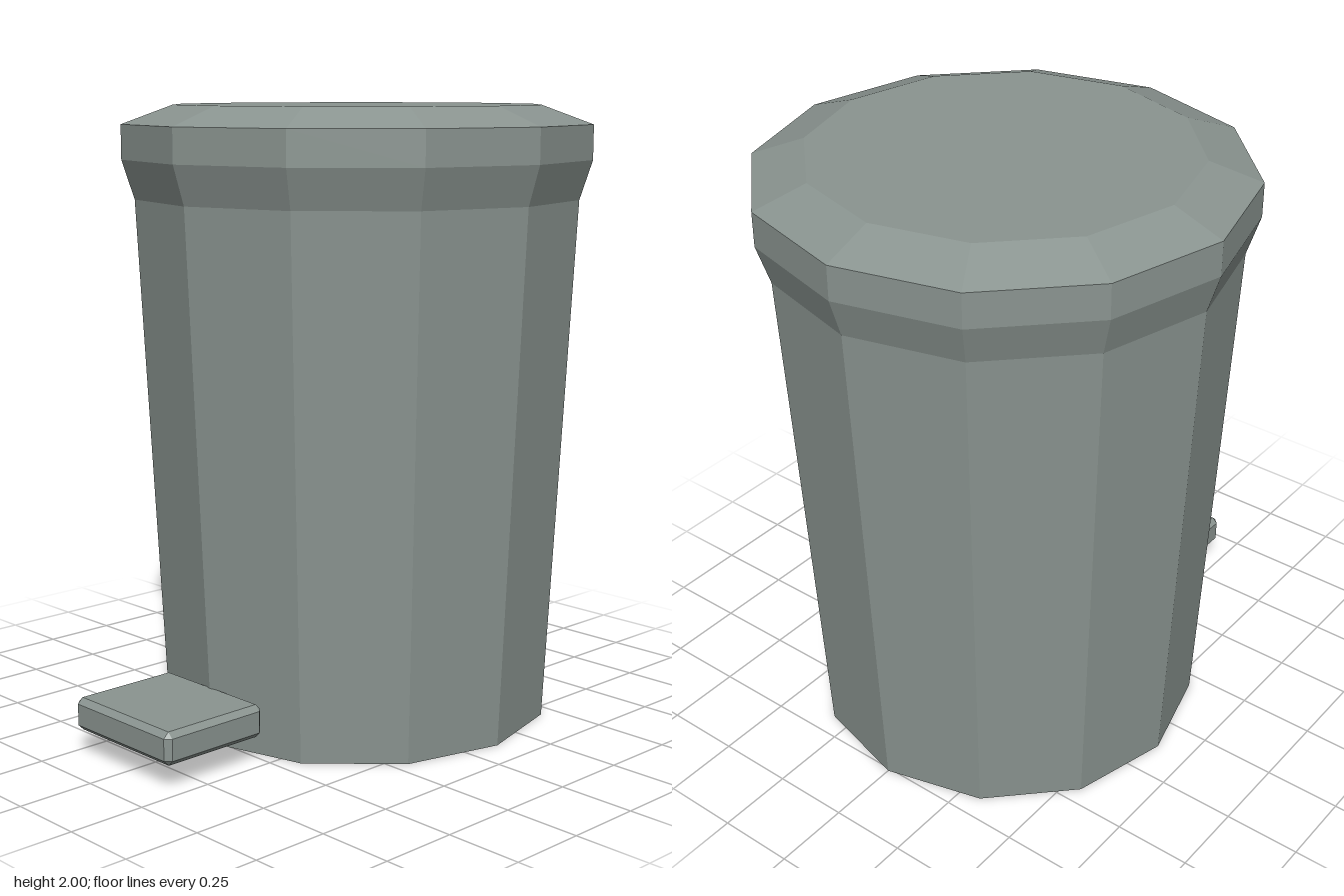
import * as THREE from 'three';
import { ConvexGeometry } from 'three/addons/geometries/ConvexGeometry.js';

const SIDES = 12;
const BIN_Z = -0.12; // the pedal sticks out in front, so the bin sits further back

// Twelve-sided turned part from [radius, height] pairs, bottom to top
function turned(name, profile, material) {
  const points = profile.map(([r, y]) => new THREE.Vector2(r, y));
  const mesh = new THREE.Mesh(new THREE.LatheGeometry(points, SIDES), material);
  mesh.name = name;
  mesh.position.z = BIN_Z;
  return mesh;
}

// Box with every edge chamfered by c
function chamferedBox(w, h, d, c) {
  const points = [];
  for (const sx of [-1, 1]) for (const sy of [-1, 1]) for (const sz of [-1, 1]) {
    const x = w / 2, y = h / 2, z = d / 2;
    points.push(
      new THREE.Vector3(sx * x, sy * (y - c), sz * (z - c)),
      new THREE.Vector3(sx * (x - c), sy * y, sz * (z - c)),
      new THREE.Vector3(sx * (x - c), sy * (y - c), sz * z)
    );
  }
  return new ConvexGeometry(points);
}

export function createModel() {
  const grey = new THREE.MeshStandardMaterial({ color: 0x8a9490, flatShading: true });
  grey.name = 'greenish grey';

  const group = new THREE.Group();
  group.name = 'pedalBin';

  // Tapered body with a flared collar
  group.add(turned('body', [[0, 0], [0.64, 0], [0.725, 1.705], [0.765, 1.83]], grey));

  // Lid with a straight rim and sloping edge
  group.add(turned('lid', [[0.765, 1.83], [0.765, 1.94], [0.6, 2], [0, 2]], grey));

  // Foot pedal
  const pedal = new THREE.Mesh(chamferedBox(0.46, 0.105, 0.38, 0.018), grey);
  pedal.name = 'pedal';
  pedal.position.set(0, 0.1325, 0.695);
  group.add(pedal);

  return group;
}
